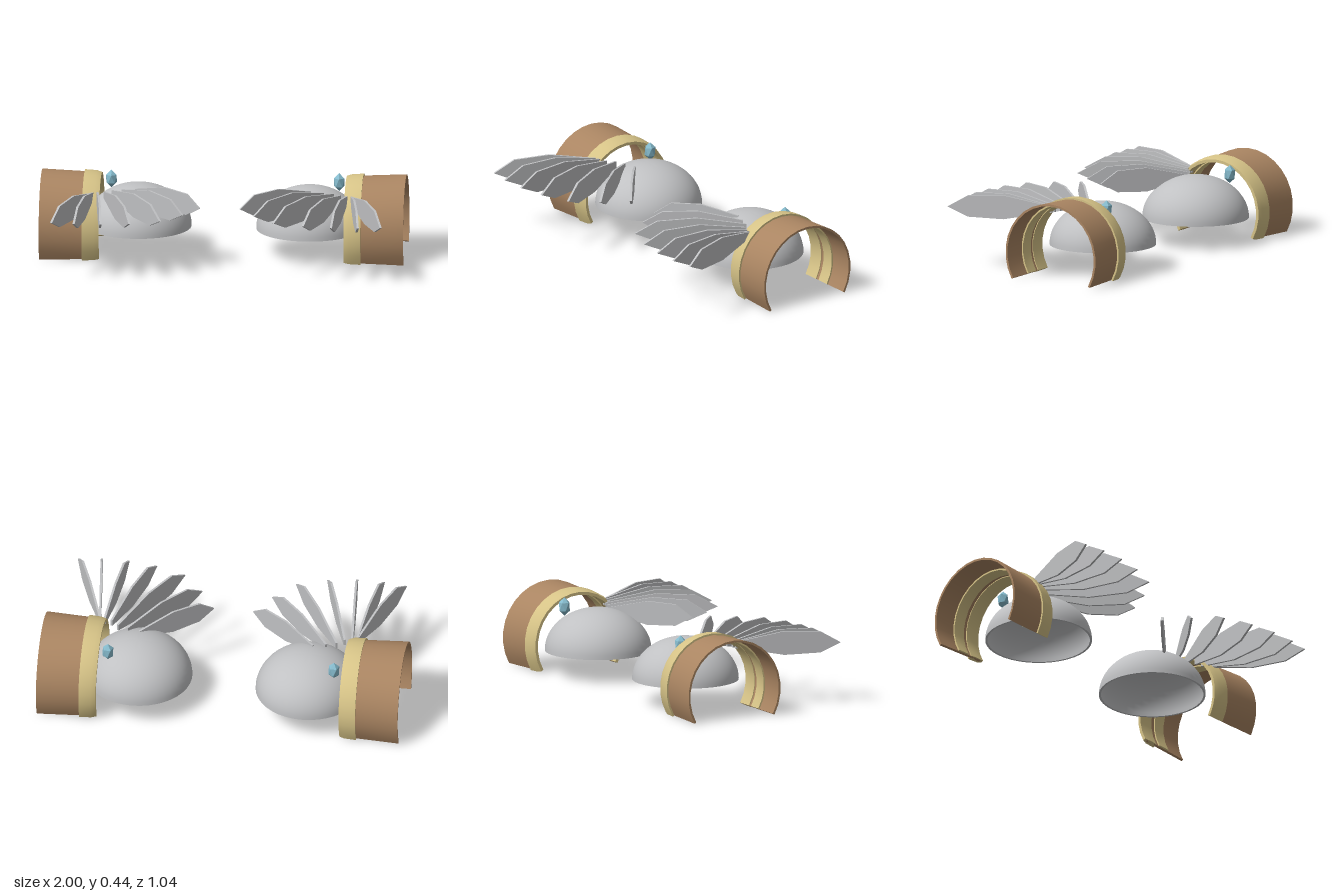
import * as THREE from 'three';
import { toCreasedNormals } from 'three/addons/utils/BufferGeometryUtils.js';

function material(name, color) {
  const m = new THREE.MeshStandardMaterial({ color, side: THREE.DoubleSide });
  m.name = name;
  return m;
}

function mesh(name, geometry, mat) {
  const m = new THREE.Mesh(geometry, mat);
  m.name = name;
  return m;
}

// 240 degree arch around the x axis; profile points are [radius, x]
function arch(name, profile, mat) {
  const group = new THREE.Group();
  group.name = name;
  const pts = profile.map(([r, x]) => new THREE.Vector2(r, x));
  const start = -7 * Math.PI / 6, length = 4 * Math.PI / 3;
  const band = new THREE.LatheGeometry([...pts, pts[0].clone()], 20, start, length);
  band.rotateZ(-Math.PI / 2);
  group.add(mesh(name + 'Band', toCreasedNormals(band, 0.5), mat));
  // close both cut ends
  for (const phi of [start, start + length]) {
    const cap = new THREE.ShapeGeometry(new THREE.Shape(pts));
    cap.rotateY(phi - Math.PI / 2).rotateZ(-Math.PI / 2);
    group.add(mesh(name + 'End', cap, mat));
  }
  group.position.set(0, 0.147, -0.231);
  return group;
}

// Upright feather-shaped blade between two points [x, z]
function blade([x0, z0], [x1, z1], mat) {
  const dx = x1 - x0, dz = z1 - z0, len = Math.hypot(dx, dz), t = 0.012;
  const shape = new THREE.Shape([
    [0, -0.018], [0.45, -0.066], [0.8, -0.06], [1, -0.008],
    [0.8, 0.058], [0.45, 0.066], [0, 0.018],
  ].map(([u, y]) => new THREE.Vector2(u * len, y)));
  const geo = new THREE.ExtrudeGeometry(shape, { depth: t, bevelEnabled: false });
  geo.translate(0, 0, -t / 2);
  const m = mesh('blade', geo, mat);
  m.position.set(x0, 0.349, z0);
  m.rotation.y = Math.atan2(-dz, dx);
  return m;
}

export function createModel() {
  const steel = material('steel', 0xc0c1c3);
  const leather = material('brown leather', 0xaa8562);
  const gold = material('pale gold', 0xd6c387);
  const crystal = material('blue crystal', 0x86bbcd);

  function side(name) {
    const g = new THREE.Group();
    g.name = name;

    // Hollow dome with a thin rim
    const outer = [], inner = [];
    for (let i = 0; i <= 16; i++) {
      const a = i / 16 * Math.PI / 2;
      outer.push(new THREE.Vector2(0.293 * Math.cos(a), 0.235 * Math.sin(a)));
      inner.unshift(new THREE.Vector2(0.281 * Math.cos(a), 0.224 * Math.sin(a)));
    }
    const shell = new THREE.LatheGeometry([...inner, ...outer], 40);
    const dome = mesh('dome', toCreasedNormals(shell, 0.6), steel);
    dome.position.set(0.47, 0.138, -0.231);
    g.add(dome);

    // Cuff: tapered sleeve, rim band and inner band
    g.add(arch('sleeve', [[0.279, 0.69], [0.293, 1], [0.281, 1], [0.267, 0.69]], leather));
    g.add(arch('rimBand', [[0.28, 0.672], [0.289, 0.70], [0.293, 0.765],
      [0.266, 0.765], [0.263, 0.72], [0.264, 0.672]], gold));
    g.add(arch('innerBand', [[0.274, 0.79], [0.277, 0.865], [0.266, 0.865], [0.264, 0.79]], gold));

    // Fan of blades
    const fan = new THREE.Group();
    fan.name = 'bladeFan';
    [
      [[0.48, -0.145], [0.11, 0.155]], [[0.55, -0.125], [0.195, 0.3]],
      [[0.605, -0.105], [0.31, 0.435]], [[0.645, -0.07], [0.475, 0.495]],
      [[0.685, -0.06], [0.632, 0.52]], [[0.71, -0.055], [0.78, 0.52]],
      [[0.715, -0.04], [0.905, 0.5]],
    ].forEach(([root, tip]) => fan.add(blade(root, tip, steel)));
    g.add(fan);

    // Faceted gem standing on a vertex
    const gemGeo = new THREE.IcosahedronGeometry(0.034, 0);
    gemGeo.rotateX(-Math.atan((1 + Math.sqrt(5)) / 2)).scale(1, 1.5, 1);
    gemGeo.computeVertexNormals();
    const gem = mesh('gem', gemGeo, crystal);
    gem.position.set(0.625, 0.366, -0.354);
    g.add(gem);
    return g;
  }

  const model = new THREE.Group();
  model.name = 'shoulderArmour';
  const right = side('rightSide');
  right.scale.x = -1;
  model.add(side('leftSide'), right);
  return model;
}
